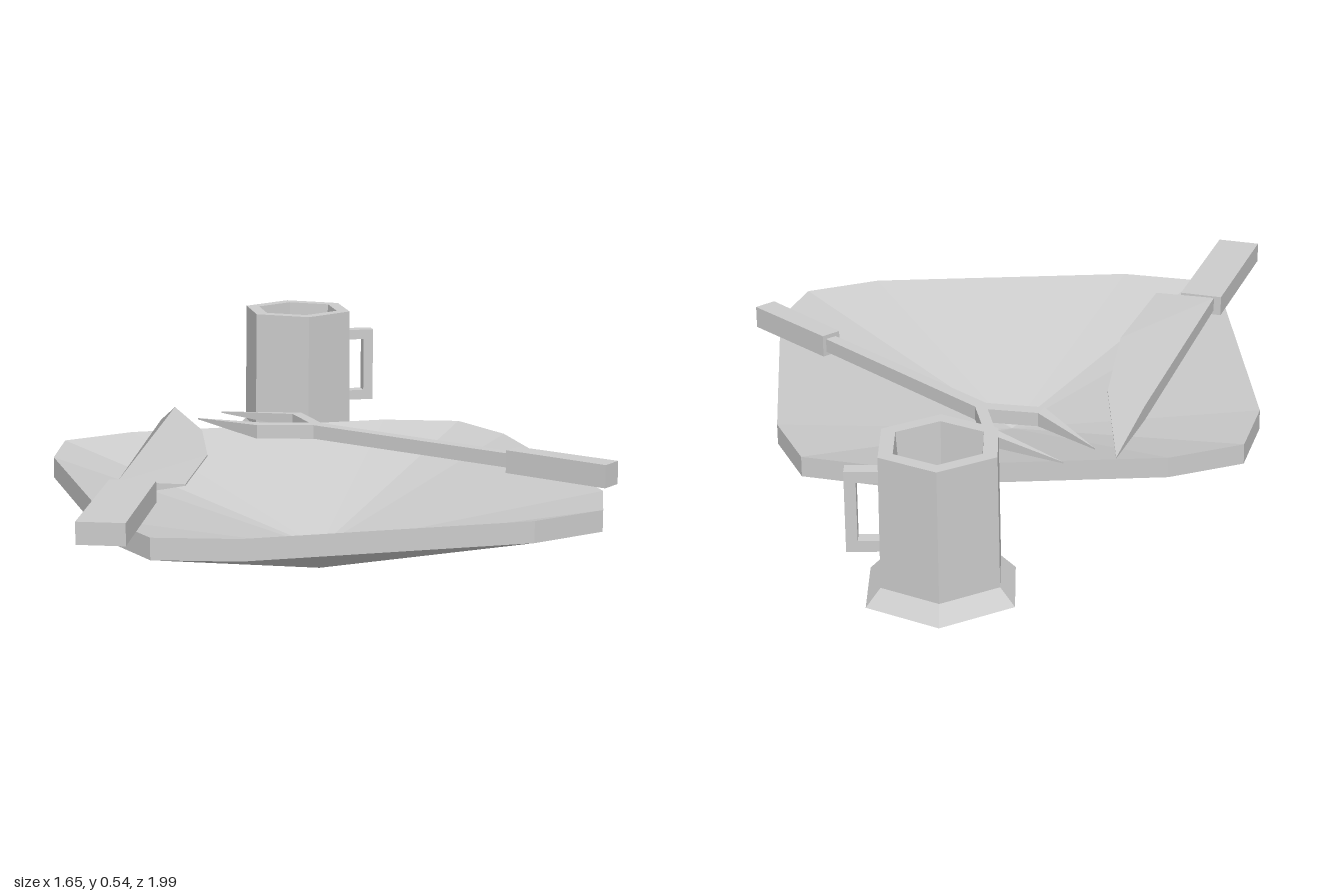
import * as THREE from 'three';

const rad = THREE.MathUtils.degToRad;
const material = new THREE.MeshStandardMaterial({ color: 0xcccccc, flatShading: true, side: THREE.DoubleSide });

function add(parent, name, geometry) {
  const mesh = new THREE.Mesh(geometry, material);
  mesh.name = name;
  parent.add(mesh);
  return mesh;
}

function fromTriangles(triangles) {
  const geometry = new THREE.BufferGeometry();
  geometry.setAttribute('position', new THREE.Float32BufferAttribute(triangles.flat(2), 3));
  geometry.computeVertexNormals();
  return geometry;
}

// Side walls around an outline of [x, z, bottom, top], counter-clockwise from above
function walls(outline) {
  return outline.flatMap(([x, z, b, t], i) => {
    const [x2, z2, b2, t2] = outline[(i + 1) % outline.length];
    return [[[x, b, z], [x2, b2, z2], [x2, t2, z2]], [[x, b, z], [x2, t2, z2], [x, t, z]]];
  });
}

// Flat piece whose bottom and top heights may vary per corner
function slab(points) {
  const flat = p => new THREE.Vector2(p[0], -p[1]);
  const outline = THREE.ShapeUtils.isClockWise(points.map(flat)) ? [...points].reverse() : points;
  const contour = outline.map(flat);
  const triangles = walls(outline);
  for (const face of THREE.ShapeUtils.triangulateShape(contour, [])) {
    const up = THREE.ShapeUtils.isClockWise(face.map(i => contour[i])) ? [...face].reverse() : face;
    triangles.push(up.map(i => [outline[i][0], outline[i][3], outline[i][1]]));
    triangles.push([...up].reverse().map(i => [outline[i][0], outline[i][2], outline[i][1]]));
  }
  return fromTriangles(triangles);
}

const level = (points, bottom, top) => points.map(([x, z]) => [x, z, bottom, top]);

// Shallow square dish with clipped corners, same thickness all over
function createPlate() {
  const cx = 0.095, cz = 0.265;
  const side = [[-0.387, -0.435], [-0.498, -0.233], [-0.635, 0.53], [-0.61, 0.748], [-0.41, 0.854], [0.35, 0.992],
    [0.573, 0.96], [0.69, 0.77], [0.82, 0.01], [0.79, -0.212], [0.594, -0.323], [-0.164, -0.465]];
  const rim = level(side, 0.21, 0.268);
  const triangles = walls(rim);
  rim.forEach(([x, z, b, t], i) => {
    const [x2, z2, b2, t2] = rim[(i + 1) % rim.length];
    triangles.push([[cx, 0.058, cz], [x, t, z], [x2, t2, z2]]);
    triangles.push([[cx, 0, cz], [x2, b2, z2], [x, b, z]]);
  });
  return fromTriangles(triangles);
}

export function createModel() {
  const model = new THREE.Group();
  model.name = 'tableSetting';
  add(model, 'plate', createPlate());

  // Knife: thick spine, thin cutting edge, pointed tip
  const knife = new THREE.Group();
  knife.name = 'knife';
  model.add(knife);
  add(knife, 'knifeHandle', slab(level(
    [[-0.832, 0.81], [-0.726, 0.875], [-0.48, 0.477], [-0.585, 0.412]], 0.287, 0.345)));
  add(knife, 'knifeBlade', slab([
    [-0.567, 0.424, 0.3, 0.34], [-0.414, 0.514, 0.333, 0.337], [-0.217, 0.207, 0.333, 0.337],
    [-0.085, -0.133, 0.326, 0.33], [0, -0.53, 0.315, 0.318], [-0.15, -0.278, 0.296, 0.339]]));

  // Fork: two bent prongs with pinched tips
  const fork = new THREE.Group();
  fork.name = 'fork';
  model.add(fork);
  const b = 0.28, t = 0.32;
  add(fork, 'forkHead', slab([
    [0.03, -0.425, 0.297, 0.301], [0.106, -0.175, b, t], [0.255, -0.106, b, t], [0.29, -0.122, b, t],
    [0.302, -0.29, b, t], [0.133, -0.488, 0.297, 0.301], [0.27, -0.28, b, t], [0.26, -0.148, b, t],
    [0.133, -0.207, b, t]]));
  add(fork, 'forkShaft', slab(level(
    [[0.255, -0.106], [0.29, -0.122], [0.605, 0.45], [0.575, 0.467]], b, t)));
  add(fork, 'forkHandle', slab(level(
    [[0.562, 0.472], [0.615, 0.445], [0.769, 0.716], [0.71, 0.748]], 0.268, 0.332)));

  // Six-sided mug with flared foot and hollow cup
  const mug = new THREE.Group();
  mug.name = 'mug';
  mug.position.set(0.53, 0, -0.79);
  model.add(mug);
  const profile = [[0, 0.137], [0.216, 0.137], [0.173, 0.182], [0.17, 0.542], [0.128, 0.542], [0.103, 0.22], [0, 0.22]];
  add(mug, 'mugBody', new THREE.LatheGeometry(profile.map(p => new THREE.Vector2(...p)), 6, rad(46)));

  // Mug handle, centred on one flat side
  const handle = new THREE.Group();
  handle.name = 'mugHandle';
  handle.rotation.y = rad(-14);
  mug.add(handle);
  for (const y of [0.264, 0.457]) {
    add(handle, 'handleArm', new THREE.BoxGeometry(0.1, 0.03, 0.04)).position.set(0.188, y, 0);
  }
  add(handle, 'handleGrip', new THREE.BoxGeometry(0.03, 0.223, 0.04)).position.set(0.223, 0.3605, 0);

  return model;
}
